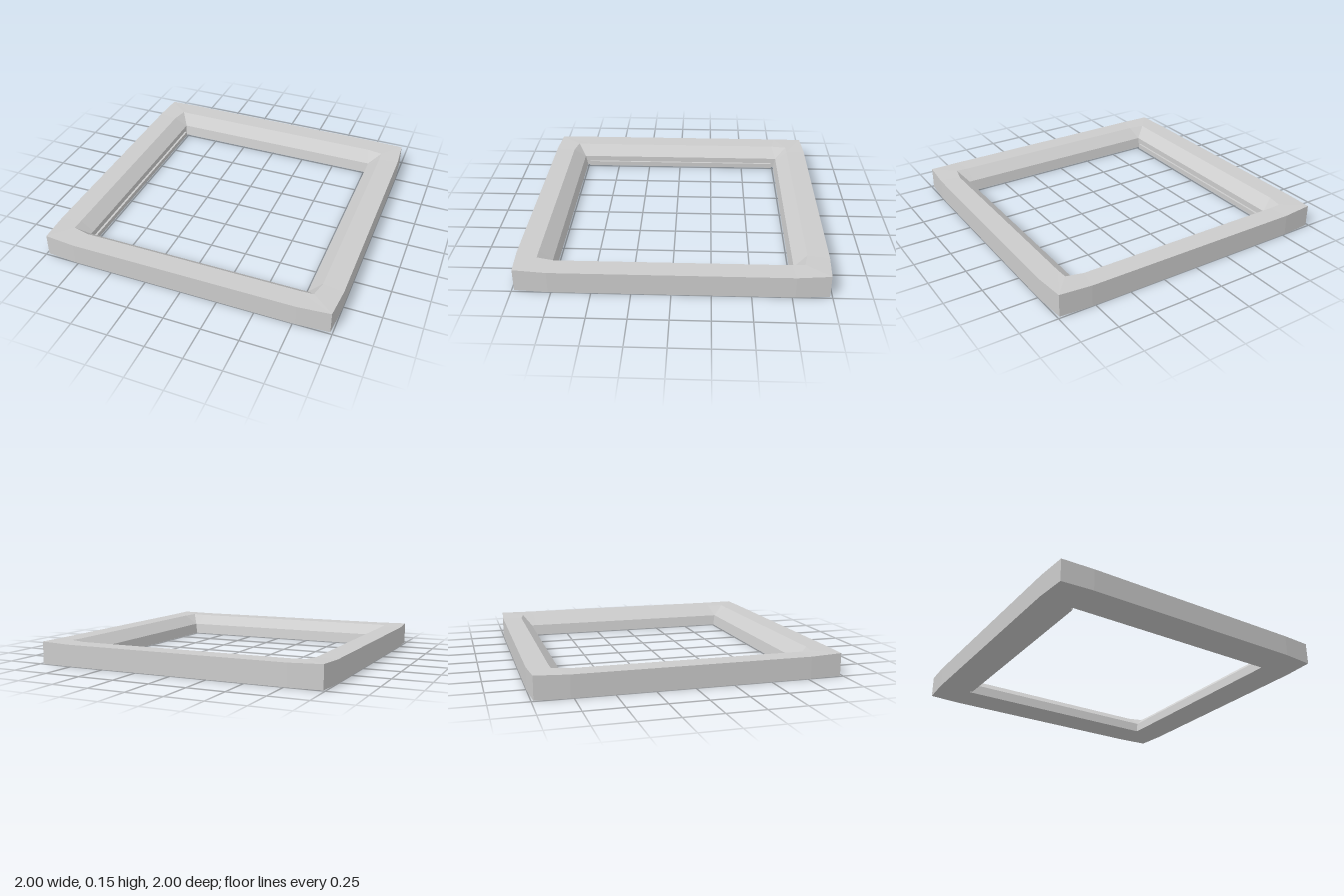
import * as THREE from 'three';

// Repeats one side's [x, z, y] points around the four sides of the square.
function ring(side) {
  const points = [];
  for (let k = 0; k < 4; k++) {
    for (const [px, pz, y] of side) {
      let x = px, z = pz;
      for (let i = 0; i < k; i++) [x, z] = [-z, x];
      points.push([x, y, z]);
    }
  }
  return points;
}

// Joins closed rings into a flat-faced tube that ends where it began.
function loftRings(rings) {
  const positions = [];
  rings.forEach((lower, r) => {
    const upper = rings[(r + 1) % rings.length];
    lower.forEach((a, i) => {
      const j = (i + 1) % lower.length;
      const b = lower[j], c = upper[j], d = upper[i];
      positions.push(...a, ...d, ...c, ...a, ...c, ...b);
    });
  });
  const geometry = new THREE.BufferGeometry();
  geometry.setAttribute('position', new THREE.Float32BufferAttribute(positions, 3));
  geometry.computeVertexNormals();
  return geometry;
}

export function createModel() {
  const group = new THREE.Group();
  group.name = 'squareFrame';
  const material = new THREE.MeshStandardMaterial({ color: 0xcccccc, flatShading: true });

  // Cross-section rings: outer wall, raised corners, inner bevel, inner wall
  const outerBottom = ring([[-0.985, -0.985, 0], [-0.77, -1, 0], [0.77, -1, 0]]);
  const outerTop = ring([[-0.985, -0.985, 0.15], [-0.77, -1, 0.145], [0.77, -1, 0.145]]);
  const bevelTop = ring([[-0.835, -0.858, 0.148], [-0.75, -0.86, 0.145], [0.745, -0.86, 0.145]]);
  const bevelBottom = ring([[-0.775, -0.775, 0.075], [-0.745, -0.775, 0.075], [0.745, -0.775, 0.075]]);
  // The left inner wall stands upright behind its lip; the others lean inward
  const innerBottom = ring([[-0.76, -0.76, 0], [-0.74, -0.76, 0], [0.74, -0.76, 0]])
    .map(([x, y, z]) => [x < -0.75 ? -0.775 : x, y, z]);

  const frame = new THREE.Mesh(
    loftRings([outerBottom, outerTop, bevelTop, bevelBottom, innerBottom]), material);
  frame.name = 'frame';
  group.add(frame);

  // Narrow lip along the left inner wall, stopping short of the corners
  const lip = new THREE.Mesh(new THREE.BoxGeometry(0.02, 0.035, 1.48), material);
  lip.name = 'innerLip';
  lip.position.set(-0.77, 0.0175, 0);
  group.add(lip);

  return group;
}
